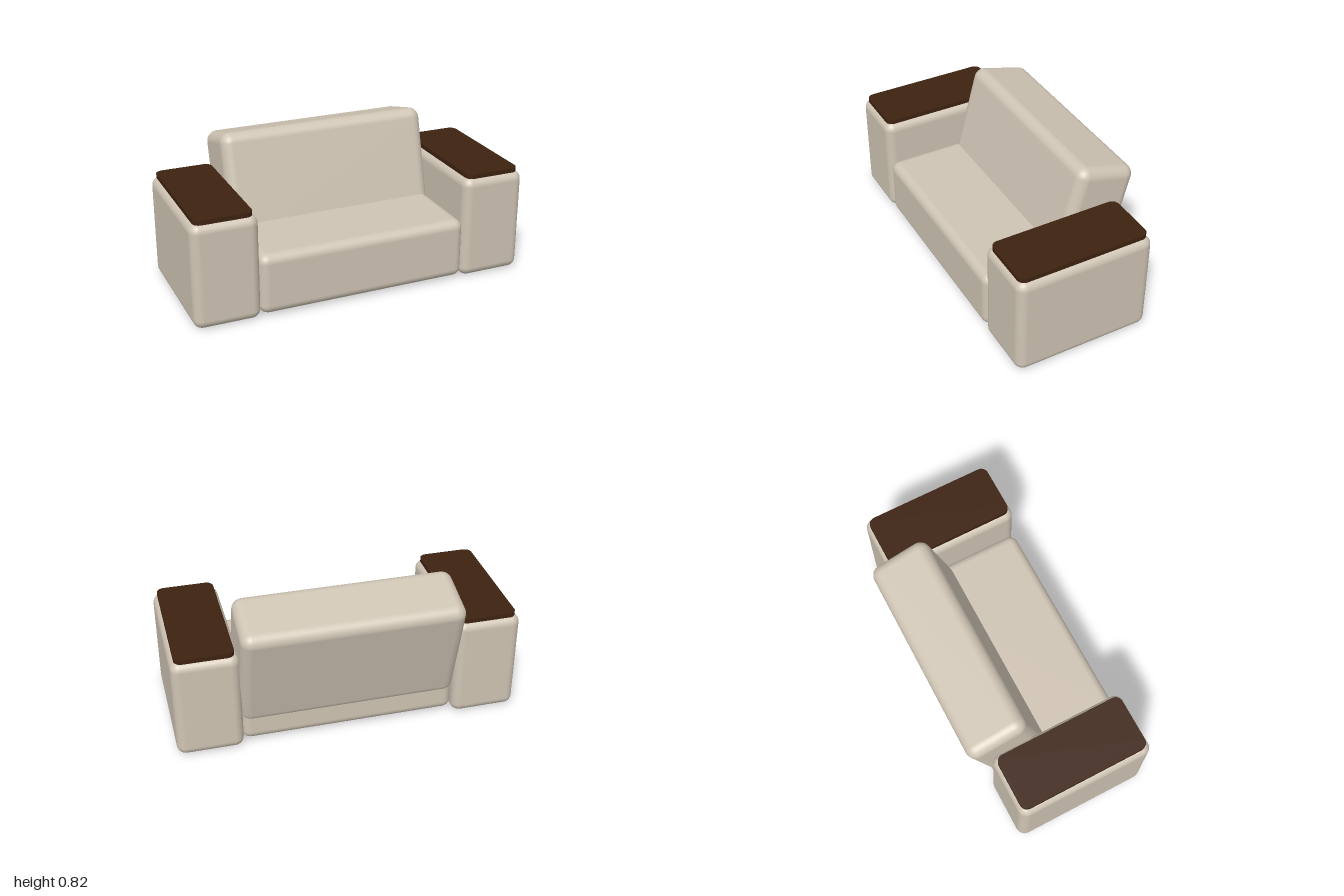
import * as THREE from 'three';
import { RoundedBoxGeometry } from 'three/addons/geometries/RoundedBoxGeometry.js';

export function createModel() {
  const fabric = new THREE.MeshStandardMaterial({ name: 'beigeFabric', color: 0xcfc4b4 });
  const wood = new THREE.MeshStandardMaterial({ name: 'darkWood', color: 0x3d2210 });

  const model = new THREE.Group();
  model.name = 'sofa';

  // The whole sofa stands turned a little about its vertical axis
  const sofa = new THREE.Group();
  sofa.name = 'turnedSofa';
  sofa.rotation.y = 0.188;
  sofa.position.z = 0.02;
  model.add(sofa);

  const cushion = (name, w, h, d, r, x, y, z) => {
    const mesh = new THREE.Mesh(new RoundedBoxGeometry(w, h, d, 5, r), fabric);
    mesh.name = name;
    mesh.position.set(x, y, z);
    sofa.add(mesh);
    return mesh;
  };

  // Thin board with rounded corners in plan and crisp top edges
  const boardGeometry = (w, d, r, t) => {
    const s = new THREE.Shape();
    const x = w / 2, y = d / 2;
    s.absarc(x - r, y - r, r, 0, Math.PI / 2);
    s.absarc(-x + r, y - r, r, Math.PI / 2, Math.PI);
    s.absarc(-x + r, -y + r, r, Math.PI, Math.PI * 1.5);
    s.absarc(x - r, -y + r, r, Math.PI * 1.5, Math.PI * 2);
    s.closePath();
    const g = new THREE.ExtrudeGeometry(s, { depth: t, bevelEnabled: false, curveSegments: 6 });
    return g.rotateX(-Math.PI / 2);
  };

  // Seat block
  cushion('seat', 1.19, 0.34, 0.735, 0.05, 0, 0.18, 0.018);

  // Backrest leaning back, sunk into the seat
  const tilt = 0.262, thick = 0.35, tall = 0.65;
  const c = Math.cos(tilt), s = Math.sin(tilt);
  const back = cushion('backrest', 1.2, tall, thick, 0.06, 0,
    0.838 - s * thick / 2 - c * tall / 2,
    -0.176 - c * thick / 2 + s * tall / 2);
  back.rotation.x = -tilt;

  // Arms with wooden top boards
  for (const [side, sign] of [['left', 1], ['right', -1]]) {
    cushion(side + 'Arm', 0.363, 0.585, 0.777, 0.05, sign * 0.772, 0.2925, 0);
    const board = new THREE.Mesh(boardGeometry(0.315, 0.74, 0.04, 0.025), wood);
    board.name = side + 'ArmBoard';
    board.position.set(sign * 0.772, 0.581, 0);
    sofa.add(board);
  }

  return model;
}
